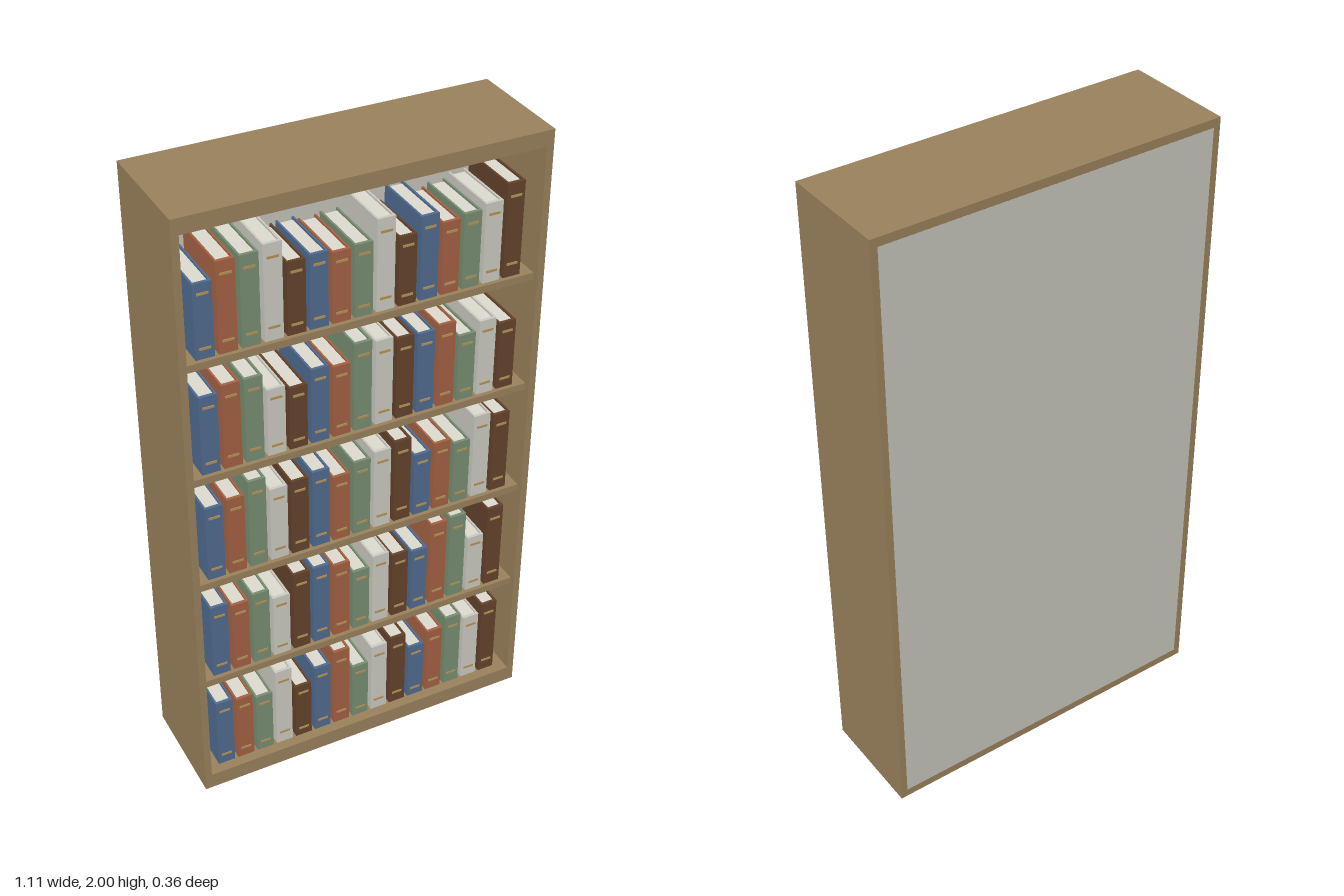
import * as THREE from 'three';

const material = (name, color) => {
  const m = new THREE.MeshStandardMaterial({ color });
  m.name = name;
  return m;
};

// Book heights in hundredths, bottom shelf first
const HEIGHTS = [
  [25.5, 24.5, 22.5, 30, 21, 26, 30, 21, 26.5, 27.5, 21, 25, 28, 25.5, 28.5],
  [26.5, 25, 26.5, 22.5, 29, 29, 27.5, 22.5, 26, 24, 23, 31, 31.5, 21, 30],
  [25.5, 26.5, 30.5, 25.5, 26, 27, 23, 26, 27.5, 29, 22, 24, 22, 29.5, 28],
  [25.5, 27.5, 27.5, 22, 20.5, 24.5, 23.5, 29, 28, 27, 26.5, 27.5, 22, 25, 22.5],
  [23, 28, 28, 29.5, 22.5, 23, 22, 22.5, 28.5, 21.5, 26, 22.5, 23.5, 25, 29.5],
];

export function createModel() {
  const wood = material('wood', 0x9a825c);
  const panel = material('back panel grey', 0xc6c5bb);
  const paper = material('paper', 0xdedbd0);
  const gold = material('gold', 0xb3935a);
  const cloths = [
    material('blue cloth', 0x506c90),
    material('terracotta cloth', 0xa56244),
    material('green cloth', 0x788f72),
    material('cream cloth', 0xcdccc2),
    material('brown cloth', 0x64432b),
  ];

  const unit = new THREE.BoxGeometry(1, 1, 1);
  const box = (parent, name, mat, [w, h, d], [x, y, z]) => {
    const mesh = new THREE.Mesh(unit, mat);
    mesh.name = name;
    mesh.scale.set(w, h, d);
    mesh.position.set(x, y, z);
    parent.add(mesh);
  };

  const model = new THREE.Group();
  model.name = 'bookcase';

  // Case
  const W = 1.11, D = 0.355, T = 0.022, inner = W - 2 * T;
  for (const s of [-1, 1]) {
    box(model, s > 0 ? 'leftSide' : 'rightSide', wood, [T, 2, D], [s * (W - T) / 2, 1, 0]);
  }
  box(model, 'topBoard', wood, [inner, 0.048, D], [0, 1.976, 0]);
  box(model, 'bottomBoard', wood, [inner, 0.053, D], [0, 0.0265, 0]);
  box(model, 'backPanel', panel, [inner, 1.946, 0.018], [0, 1, -D / 2 + 0.0085]);

  // One book, standing at the group's origin with its spine at z = 0
  const bookW = 0.055, bookD = 0.21, cover = 0.006;
  const makeBook = (h, cloth) => {
    const book = new THREE.Group();
    book.name = 'book';
    box(book, 'spine', cloth, [bookW, h, 0.01], [0, h / 2, -0.005]);
    for (const s of [-1, 1]) {
      box(book, 'cover', cloth, [cover, h, bookD - 0.01],
        [s * (bookW - cover) / 2, h / 2, -0.01 - (bookD - 0.01) / 2]);
    }
    box(book, 'pages', paper, [bookW - 2 * cover, h - 0.012, bookD - 0.018],
      [0, h / 2, -0.01 - (bookD - 0.018) / 2]);
    for (const f of [0.14, 0.86]) {
      box(book, 'spineBand', gold, [0.034, 0.007, 0.003], [0, h * f, 0.001]);
    }
    return book;
  };

  // Shelves and their rows of books
  HEIGHTS.forEach((row, level) => {
    const y = 0.053 + level * 0.375;
    if (level > 0) box(model, 'shelf', wood, [inner, 0.023, 0.318], [0, y - 0.0115, -0.001]);
    const books = new THREE.Group();
    books.name = 'bookRow';
    row.forEach((h, i) => {
      const book = makeBook(h / 100, cloths[i % cloths.length]);
      book.position.set((i - 7) * 0.0667, y, 0.145);
      books.add(book);
    });
    model.add(books);
  });

  return model;
}
